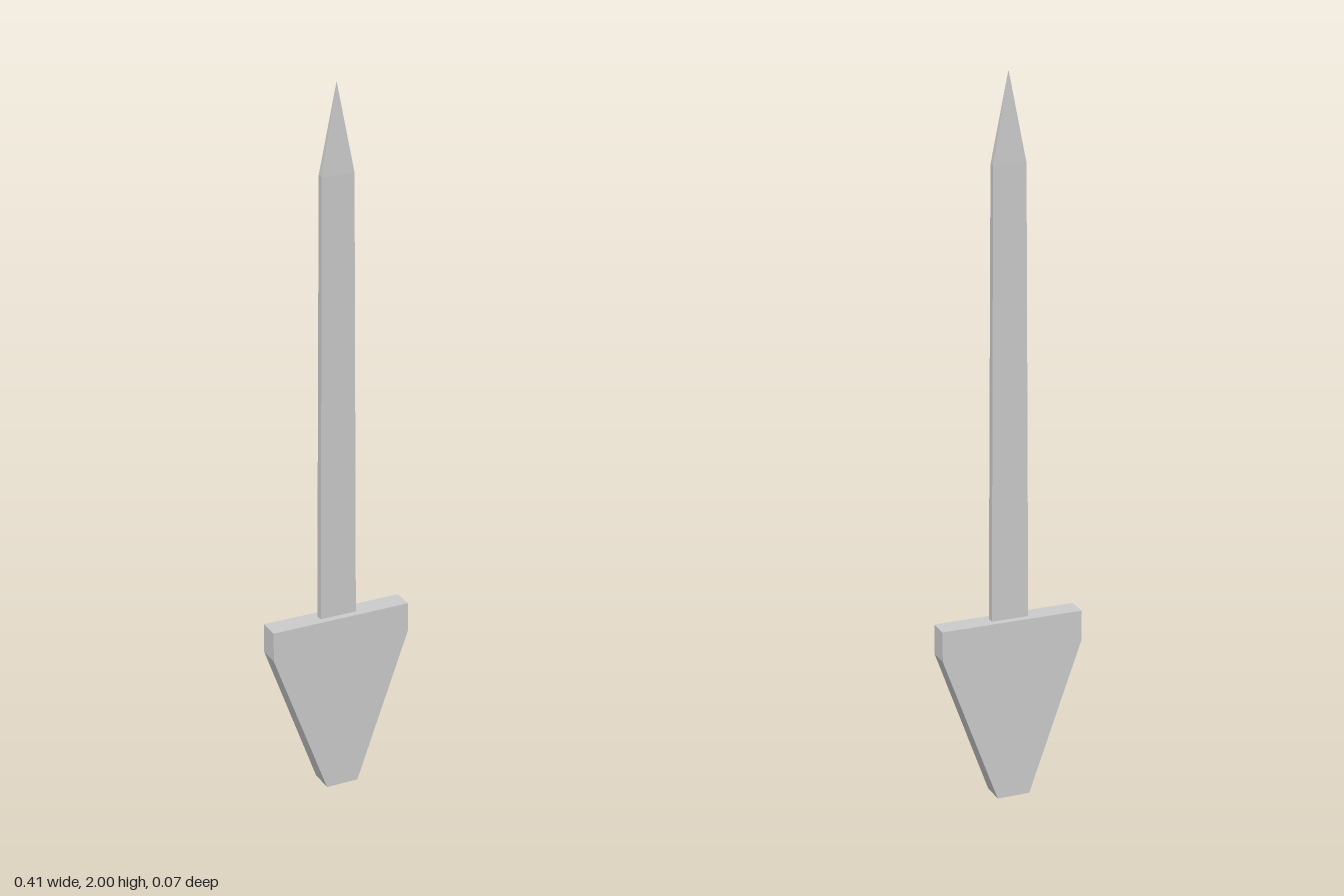
import * as THREE from 'three';

// Solid lofted through rectangular sections [y, halfWidth, halfDepth], listed bottom to top
function loft(sections) {
  const pos = [];
  const corner = ([y, w, d], i) => [[-w, y, d], [w, y, d], [w, y, -d], [-w, y, -d]][i % 4];
  const quad = (a, b, c, d) => pos.push(...a, ...b, ...c, ...a, ...c, ...d);
  for (let s = 0; s < sections.length - 1; s++) {
    const lo = sections[s], hi = sections[s + 1];
    for (let i = 0; i < 4; i++) {
      const a = corner(lo, i), b = corner(lo, i + 1);
      // a zero-width section is a point
      if (hi[1] === 0) pos.push(...a, ...b, ...corner(hi, 0));
      else quad(a, b, corner(hi, i + 1), corner(hi, i));
    }
  }
  const first = sections[0], last = sections[sections.length - 1];
  quad(corner(first, 3), corner(first, 2), corner(first, 1), corner(first, 0));
  if (last[1] > 0) quad(corner(last, 0), corner(last, 1), corner(last, 2), corner(last, 3));
  const geo = new THREE.BufferGeometry();
  geo.setAttribute('position', new THREE.Float32BufferAttribute(pos, 3));
  geo.computeVertexNormals();
  return geo;
}

export function createModel() {
  const model = new THREE.Group();
  model.name = 'dagger';
  const grey = new THREE.MeshStandardMaterial({ color: 0xcccccc });
  grey.name = 'light grey';

  const add = (name, sections) => {
    const mesh = new THREE.Mesh(loft(sections), grey);
    mesh.name = name;
    model.add(mesh);
  };

  // Wedge-shaped handle, slightly thicker towards its narrow foot
  add('handle', [[0, 0.047, 0.036], [0.43, 0.203, 0.0315], [0.515, 0.203, 0.0305]]);
  // Long flat blade ending in a pyramid point
  add('blade', [[0.51, 0.053, 0.011], [1.76, 0.046, 0.009], [2, 0, 0]]);

  return model;
}
